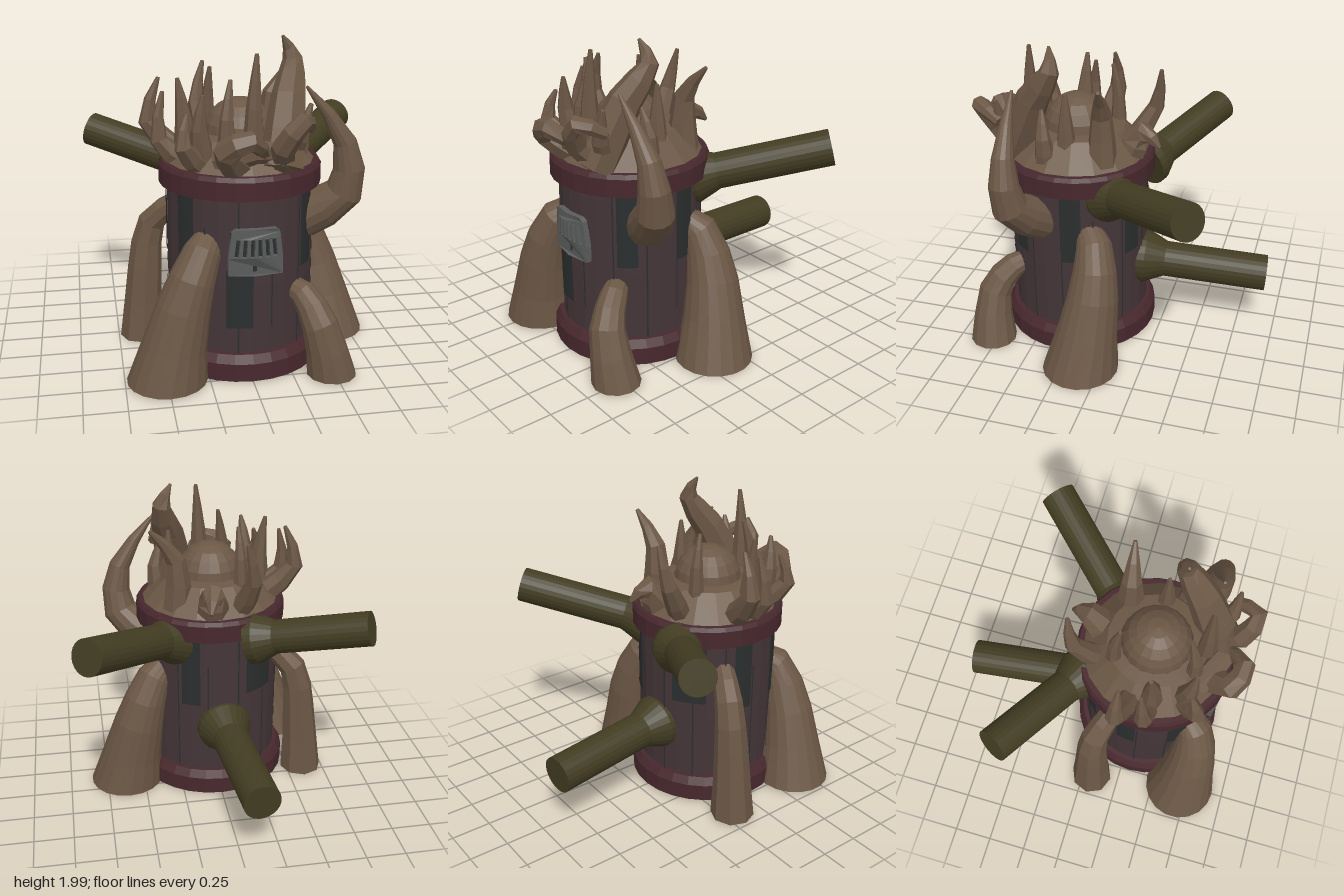
import * as THREE from 'three';

const mat = (color) => new THREE.MeshStandardMaterial({ color, flatShading: true, side: THREE.DoubleSide });
const CZ = 0.31; // z of the barrel's axis

// Limb along a spline: radius runs from r0 to r1 as t^power, both ends closed
function limb(points, r0, r1, power, sides, flatBase = false) {
  const curve = new THREE.CatmullRomCurve3(points.map((p) => new THREE.Vector3(...p)));
  const steps = (points.length - 1) * 2, pos = [], idx = [];
  const prev = new THREE.Vector3(0, 1, 0), q = new THREE.Quaternion(), turn = new THREE.Quaternion();
  for (let i = 0; i <= steps; i++) {
    const t = i / steps, centre = curve.getPoint(t), dir = curve.getTangent(t);
    if (i === 0 && flatBase) dir.set(0, 1, 0);
    q.premultiply(turn.setFromUnitVectors(prev, dir));
    prev.copy(dir);
    const r = r0 + (r1 - r0) * t ** power;
    for (let j = 0; j < sides; j++) {
      const a = (j / sides) * Math.PI * 2, k = (j + 1) % sides;
      const v = new THREE.Vector3(Math.sin(a) * r, 0, Math.cos(a) * r).applyQuaternion(q).add(centre);
      pos.push(v.x, v.y, v.z);
      const row = i * sides;
      if (i < steps) idx.push(row + j, row + k, row + sides + k, row + j, row + sides + k, row + sides + j);
      if (j > 0 && j < sides - 1) {
        if (i === 0) idx.push(0, j + 1, j);
        if (i === steps) idx.push(row, row + j, row + j + 1);
      }
    }
  }
  const g = new THREE.BufferGeometry();
  g.setAttribute('position', new THREE.Float32BufferAttribute(pos, 3));
  g.setIndex(idx);
  g.computeVertexNormals();
  return g;
}

export function createModel() {
  const model = new THREE.Group();
  const wood = mat(0x6b5745), plum = mat(0x443538), band = mat(0x47282d);
  const olive = mat(0x423c22), dark = mat(0x2b2e2e), metal = mat(0x5a5c5c);
  const add = (name, geo, material, parent = model) => {
    const m = new THREE.Mesh(geo, material);
    m.name = name;
    parent.add(m);
    return m;
  };
  const group = (name) => {
    const g = new THREE.Group();
    g.name = name;
    model.add(g);
    return g;
  };
  const lathe = (name, profile, material, sides = 28) => {
    add(name, new THREE.LatheGeometry(profile.map((p) => new THREE.Vector2(...p)), sides), material).position.z = CZ;
  };

  // Barrel, its two bands and the wooden crown
  lathe('barrel', [[0, 0.1], [0.44, 0.1], [0.445, 0.6], [0.44, 1.2], [0, 1.2]], plum);
  lathe('baseBand', [[0, 0.03], [0.36, 0.03], [0.37, 0.02], [0.5, 0.02], [0.5, 0.13], [0.47, 0.18], [0.43, 0.18]], band);
  lathe('topBand', [[0.43, 1.12], [0.49, 1.13], [0.49, 1.24], [0.475, 1.265], [0.4, 1.265]], band);
  lathe('crown', [[0.46, 1.25], [0.3, 1.42], [0.22, 1.43]], wood, 18);
  add('crownDome', new THREE.SphereGeometry(0.215, 18, 5, 0, Math.PI * 2, 0, Math.PI / 2), wood).position.set(0, 1.415, CZ);

  // Dark panels and plank seams: angle from front, width, bottom, top
  const planks = group('planks');
  const strip = (name, a, w, y0, y1, r) => {
    const g = new THREE.CylinderGeometry(r, r, y1 - y0, 4, 1, true, a - w / 2, w);
    add(name, g, dark, planks).position.set(0, (y0 + y1) / 2, CZ);
  };
  strip('frontPanel', -0.17, 0.36, 0.34, 0.7, 0.449);
  strip('backPanel', -2.5, 0.5, 0.72, 1.12, 0.449);
  for (const a of [0.9, 1.75, 2.7, -1.7, -0.95]) strip('upperPanel', a, 0.28, 0.66, 1.12, 0.449);
  for (let i = 0; i < 14; i++) {
    strip('plankSeam', 0.26 + i * 0.449, 0.022, i % 3 ? 0.18 : 0.34, i % 2 ? 1.12 : 0.95, 0.451);
  }

  // Curved front grille with six slots
  const polygon = (target, pts) => target.setFromPoints(pts.map((p) => new THREE.Vector2(...p)));
  const plate = polygon(new THREE.Shape(), [[-0.16, 0.68], [0, 0.68], [0.16, 0.68], [0.16, 0.78], [0.14, 0.94],
    [0.115, 0.96], [0, 0.96], [-0.115, 0.96], [-0.14, 0.94], [-0.16, 0.78]]);
  for (let i = 0; i < 6; i++) {
    const x = (i - 2.5) * 0.041, b = x * 1.12, w = 0.012;
    plate.holes.push(polygon(new THREE.Path(), [[b - w, 0.79], [x - w, 0.9], [x + w, 0.9], [b + w, 0.79]]));
  }
  const grille = new THREE.ExtrudeGeometry(plate, { depth: 0.035, bevelEnabled: false });
  const gp = grille.attributes.position;
  for (let i = 0; i < gp.count; i++) gp.setZ(i, gp.getZ(i) - gp.getX(i) ** 2 * 1.1);
  grille.computeVertexNormals();
  add('grille', grille, metal).position.set(0.015, 0, 0.755);
  strip('grilleBack', 0.035, 0.66, 0.7, 0.94, 0.453);

  // Pipes with a flared foot
  const pipes = group('pipes');
  const addPipe = (name, start, end, r) => {
    const a = new THREE.Vector3(...start), along = new THREE.Vector3(...end).sub(a), len = along.length();
    const profile = [[0, 0], [r * 1.5, 0], [r * 1.5, len * 0.07], [r, len * 0.22], [r, len], [0, len]];
    const pipe = add(name, new THREE.LatheGeometry(profile.map((p) => new THREE.Vector2(...p)), 24), olive, pipes);
    pipe.position.copy(a);
    pipe.quaternion.setFromUnitVectors(new THREE.Vector3(0, 1, 0), along.normalize());
  };
  addPipe('leftPipe', [0.25, 1.08, 0.06], [0.845, 1.3, -0.58], 0.112);
  addPipe('rightPipe', [-0.2, 1.1, -0.08], [-0.865, 1.29, -0.455], 0.108);
  addPipe('backPipe', [-0.02, 0.5, -0.08], [-0.107, 0.445, -0.93], 0.117);

  // Root legs spreading to the ground
  const legs = group('rootLegs');
  const addLeg = (name, pts, r0, r1, sides) => add(name, limb(pts, r0, r1, 0.7, sides, true), wood, legs);
  addLeg('frontRightLeg', [[-0.5, 0.02, 0.69], [-0.4, 0.48, 0.71], [-0.28, 0.8, 0.67], [-0.2, 0.87, 0.54]], 0.24, 0.07, 18);
  addLeg('frontLeftLeg', [[0.48, 0.02, 0.78], [0.4, 0.34, 0.78], [0.32, 0.5, 0.67], [0.22, 0.53, 0.55]], 0.15, 0.06, 12);
  addLeg('backLeftLeg', [[0.615, 0.01, 0.13], [0.52, 0.48, 0.07], [0.41, 0.79, 0.09], [0.3, 0.87, 0.18]], 0.242, 0.07, 18);
  addLeg('backRightLeg', [[-0.6, 0.02, 0.06], [-0.57, 0.5, 0.06], [-0.52, 0.8, 0.07], [-0.36, 0.95, 0.15]], 0.14, 0.07, 8);

  // Large horn growing from the left side
  add('sideHorn', limb([[0.36, 0.91, 0.45], [0.585, 1.09, 0.56], [0.57, 1.4, 0.59], [0.33, 1.735, 0.61]], 0.135, 0.008, 1.6, 14), wood);

  // Crown branches: each rises from the crown's rim below its bend (x, y, z), then on to its tip (x, y, z)
  const branches = group('crownBranches');
  const addBranch = (pts, r, tipR) => add('branch', limb(pts, r, tipR, 1.4, 7), wood, branches);
  [
    [0.25, 1.6, 0.08, 0.41, 1.805, 0.05, 0.095],
    [-0.2, 1.51, -0.15, -0.15, 1.77, -0.19, 0.075],
    [0.05, 1.43, -0.13, 0.08, 1.35, -0.24, 0.11],
    [-0.54, 1.48, 0.2, -0.47, 1.74, 0.2, 0.085],
    [-0.34, 1.52, 0.37, -0.375, 1.76, 0.36, 0.075],
    [-0.49, 1.4, 0.36, -0.46, 1.68, 0.33, 0.08],
    [-0.28, 1.5, 0.58, -0.26, 1.7, 0.6, 0.075],
    [-0.38, 1.42, 0.65, -0.35, 1.6, 0.6, 0.075],
    [-0.16, 1.58, 0.09, -0.15, 1.78, 0.12, 0.055],
    [-0.12, 1.55, 0.57, -0.09, 1.77, 0.52, 0.06],
    [0.27, 1.5, 0.3, 0.27, 1.72, 0.3, 0.07],
    [0.35, 1.45, 0.42, 0.3, 1.62, 0.44, 0.07],
    [0.27, 1.46, 0.7, 0.33, 1.66, 0.72, 0.08],
    [0.03, 1.62, 0.61, 0.045, 1.925, 0.6, 0.07],
  ].forEach(([x, y, z, tx, ty, tz, r]) => {
    const reach = Math.min(1, 0.34 / Math.hypot(x, z - CZ));
    addBranch([[x * reach, 1.26, CZ + (z - CZ) * reach], [x, y, z], [tx, ty, tz]], r, 0.012);
  });

  // Tallest branch and the curled ones at the front
  addBranch([[0.18, 1.28, 0.68], [0.25, 1.66, 0.51], [0.3, 1.86, 0.38], [0.235, 1.995, 0.4]], 0.13, 0.008);
  addBranch([[0.2, 1.3, 0.64], [0.16, 1.43, 0.79], [0.26, 1.59, 0.85], [0.33, 1.52, 0.7]], 0.08, 0.035);
  addBranch([[-0.06, 1.28, 0.64], [-0.16, 1.42, 0.8], [-0.03, 1.49, 0.85], [0.08, 1.36, 0.7]], 0.09, 0.035);
  addBranch([[-0.17, 1.31, 0.6], [0.02, 1.4, 0.72], [0.26, 1.34, 0.62]], 0.085, 0.05);

  return model;
}
